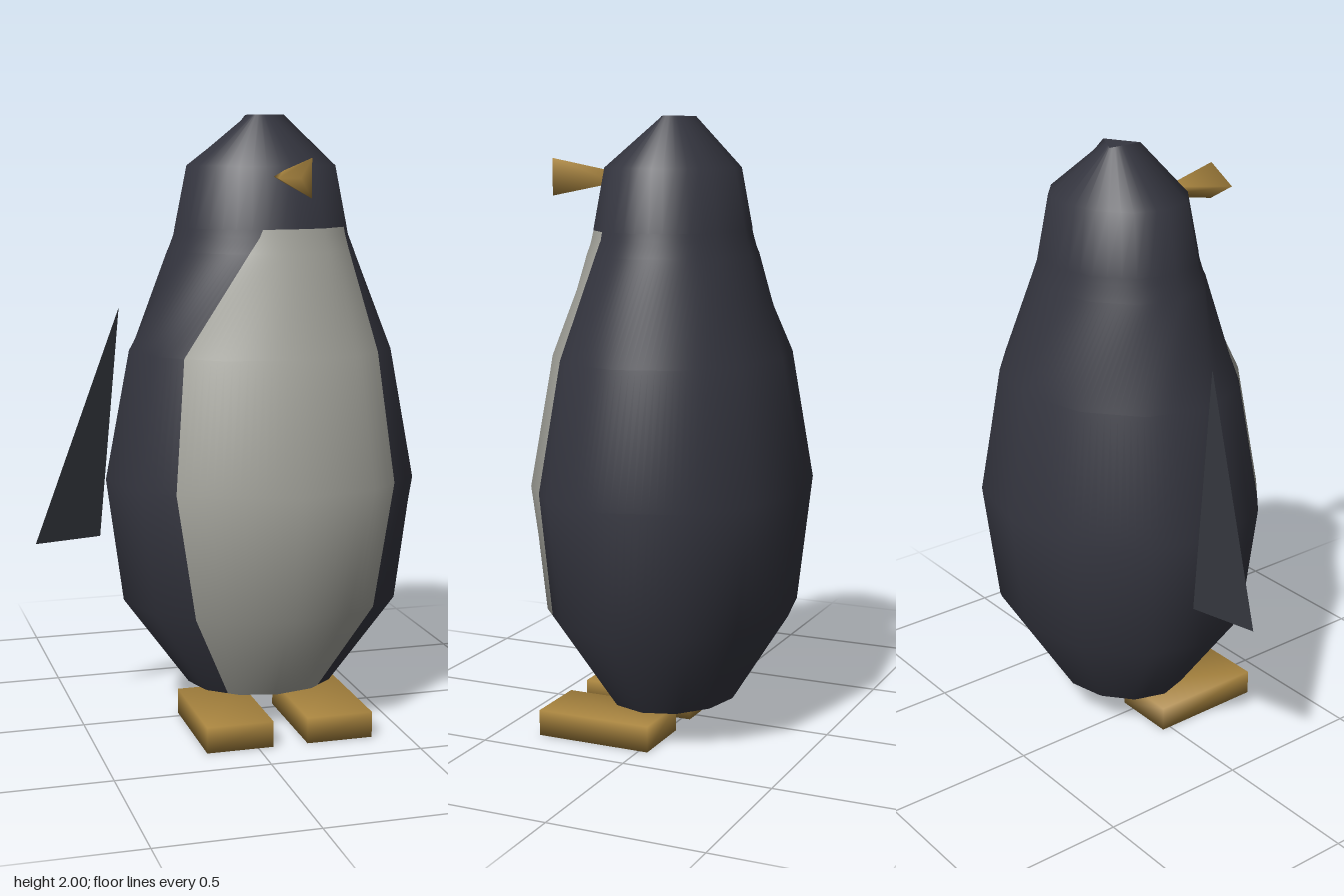
import * as THREE from 'three';
import { mergeVertices } from 'three/addons/utils/BufferGeometryUtils.js';

const mat = (name, color, side = THREE.FrontSide) => {
  const m = new THREE.MeshStandardMaterial({ color, side });
  m.name = name;
  return m;
};

const CX = 0.11; // body axis
// body rings: height, half width, half depth
const RINGS = [
  [0.12, 0.25, 0.21], [0.42, 0.47, 0.4], [0.83, 0.525, 0.445], [1.25, 0.445, 0.375],
  [1.62, 0.295, 0.25], [1.84, 0.25, 0.21], [2.0, 0.075, 0.07],
];
// belly edges: height, right edge angle, left edge angle (degrees from the front)
const BELLY = [
  [0.12, -40, 40], [0.42, -41, 41], [0.83, -45.5, 45.5], [1.25, -48, 48],
  [1.57, -21, 54], [1.62, -15, 56], [1.645, -13, 56],
];

// linear lookup in a table sorted by its first column
function lookup(table, y, col) {
  let i = 0;
  while (i < table.length - 2 && y > table[i + 1][0]) i++;
  const [a, b] = [table[i], table[i + 1]];
  const f = THREE.MathUtils.clamp((y - a[0]) / (b[0] - a[0]), 0, 1);
  return a[col] + (b[col] - a[col]) * f;
}

// point on a regular n-gon of radius 1, at an angle from the front
function polygon(deg, n, start = 0) {
  const step = 360 / n;
  const k = Math.floor((deg - start) / step + 1e-9);
  const f = (deg - start) / step - k;
  const p = (i) => {
    const t = THREE.MathUtils.degToRad(start + i * step);
    return new THREE.Vector2(Math.sin(t), Math.cos(t));
  };
  return p(k).lerp(p(k + 1), f);
}

// smooth strip of the body wall between two edge angles
function wall(heights, from, to, cols) {
  const pos = [], nor = [], idx = [];
  heights.forEach((y, j) => {
    const rx = lookup(RINGS, y, 1), rz = lookup(RINGS, y, 2);
    const lo = Math.max(0.12, y - 0.12), hi = Math.min(2, y + 0.12);
    const slope = (lookup(RINGS, hi, 2) - lookup(RINGS, lo, 2)) / (hi - lo);
    for (let i = 0; i <= cols; i++) {
      const deg = from(y) + (to(y) - from(y)) * i / cols;
      const p = y > 1.99 ? polygon(deg, 3, 90) : polygon(deg, 12);
      pos.push(CX + p.x * rx, y, p.y * rz);
      const t = THREE.MathUtils.degToRad(deg);
      const n = new THREE.Vector3(Math.sin(t) / rx, 0, Math.cos(t) / rz).normalize();
      n.y = -slope;
      n.normalize();
      nor.push(n.x, n.y, n.z);
      if (i < cols && j < heights.length - 1) {
        const a = j * (cols + 1) + i, b = a + cols + 1;
        idx.push(a, a + 1, b + 1, a, b + 1, b);
      }
    }
  });
  const g = new THREE.BufferGeometry();
  g.setAttribute('position', new THREE.Float32BufferAttribute(pos, 3));
  g.setAttribute('normal', new THREE.Float32BufferAttribute(nor, 3));
  g.setIndex(idx);
  return g;
}

// single flat triangle
function triangle(points) {
  const g = new THREE.BufferGeometry();
  g.setAttribute('position', new THREE.Float32BufferAttribute(points.flat(), 3));
  g.computeVertexNormals();
  return g;
}

// share corners so the shading runs softly round the edges
function soften(g) {
  g.deleteAttribute('normal');
  g.deleteAttribute('uv');
  const merged = mergeVertices(g);
  merged.computeVertexNormals();
  return merged;
}

export function createModel() {
  const dark = mat('dark plumage', 0x353640, THREE.DoubleSide);
  const pale = mat('pale belly', 0xa6a69e, THREE.DoubleSide);
  const slate = mat('slate flipper', 0x303339, THREE.DoubleSide);
  const gold = mat('golden beak and feet', 0xa8843f);

  const model = new THREE.Group();
  model.name = 'penguin';
  const add = (name, geometry, material) => {
    const mesh = new THREE.Mesh(geometry, material);
    mesh.name = name;
    model.add(mesh);
    return mesh;
  };

  // body, open underneath
  const lower = BELLY.map((row) => row[0]);
  const rightEdge = (y) => lookup(BELLY, y, 1);
  const leftEdge = (y) => lookup(BELLY, y, 2);
  add('belly', wall(lower, rightEdge, leftEdge, 30), pale);
  add('back', wall(lower, leftEdge, (y) => rightEdge(y) + 360, 90), dark);
  add('head', wall([1.645, 1.84, 2], () => -180, () => 180, 36), dark);

  // small three-sided crown
  const crown = [90, 330, 210].map((deg) => {
    const p = polygon(deg, 3, 90);
    return [CX + p.x * 0.075, 2, p.y * 0.07];
  });
  add('crown', triangle(crown), dark);

  // three-sided beak, widening outwards
  const beak = new THREE.CylinderGeometry(0.07, 0.02, 0.215, 3, 1, false, -Math.PI / 2);
  beak.rotateX(Math.PI / 2);
  add('beak', soften(beak), gold).position.set(CX, 1.808, 0.308);

  // flipper on one side only
  add('rightFlipper', triangle([
    [-0.365, 1.39, -0.005], [-0.64, 0.615, -0.055], [-0.415, 0.615, -0.11],
  ]), slate);

  // feet
  for (const [name, x] of [['rightFoot', -0.06], ['leftFoot', 0.275]]) {
    add(name, soften(new THREE.BoxGeometry(0.22, 0.085, 0.39)), gold).position.set(x, 0.0425, 0.165);
  }
  return model;
}
